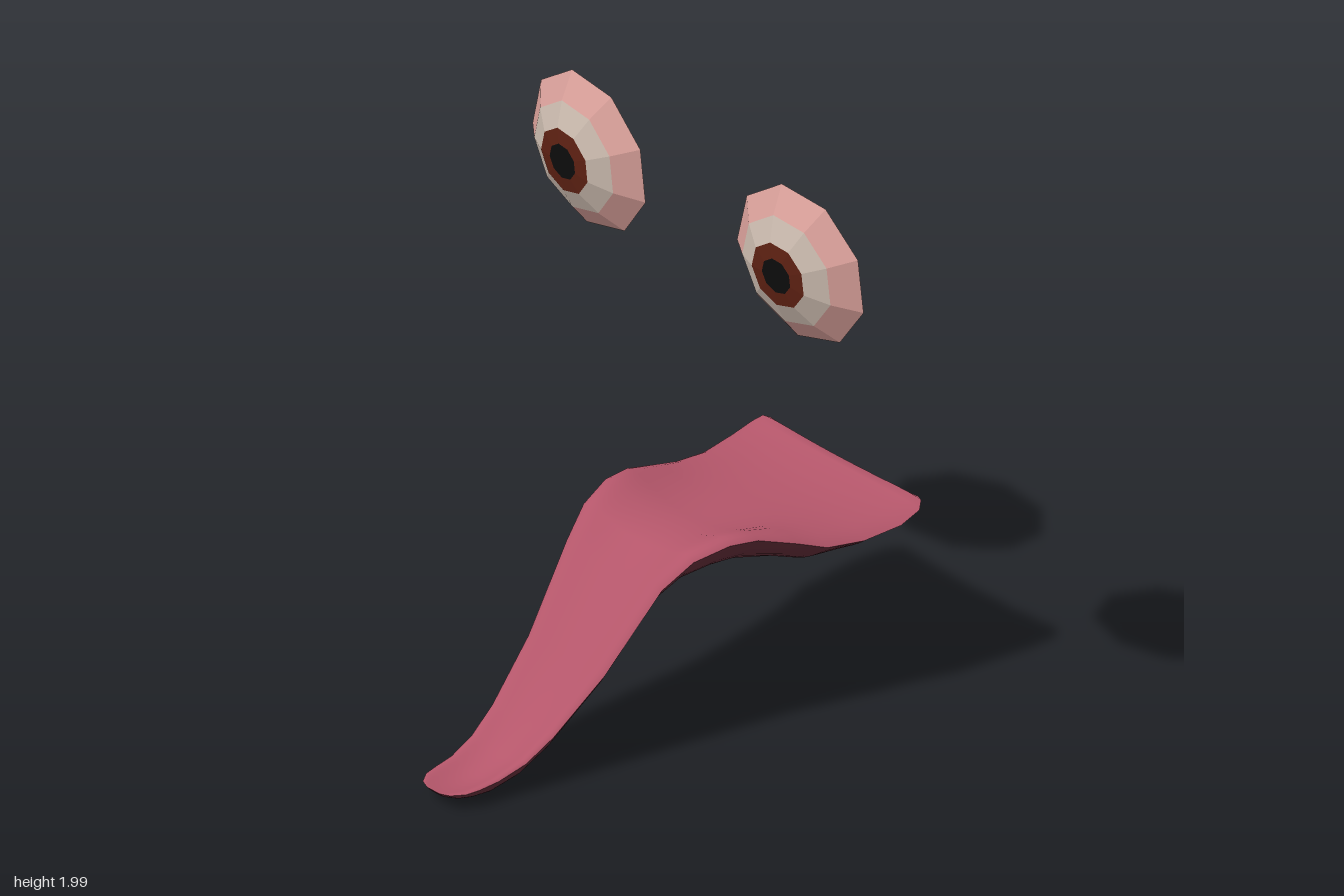
import * as THREE from 'three';

const material = (color, options = {}) => new THREE.MeshStandardMaterial({ color, ...options });

// Cross-sections from tip to root: z, half width, top centre y, top rim y, bottom centre y
const SECTIONS = [
  [0.853, 0.03, 0.06, 0.06, 0.06],
  [0.84, 0.065, 0.058, 0.068, 0.045],
  [0.80, 0.095, 0.052, 0.076, 0.028],
  [0.75, 0.105, 0.05, 0.085, 0.015],
  [0.68, 0.112, 0.055, 0.098, 0.008],
  [0.58, 0.128, 0.09, 0.135, 0.03],
  [0.48, 0.145, 0.16, 0.205, 0.085],
  [0.30, 0.18, 0.335, 0.375, 0.24],
  [0.10, 0.225, 0.565, 0.63, 0.48],
  [0, 0.26, 0.64, 0.715, 0.535],
  [-0.12, 0.295, 0.66, 0.75, 0.55],
  [-0.22, 0.315, 0.65, 0.74, 0.55],
  [-0.36, 0.345, 0.64, 0.685, 0.52],
  [-0.46, 0.37, 0.635, 0.645, 0.485],
  [-0.60, 0.385, 0.625, 0.62, 0.485],
  [-0.72, 0.40, 0.635, 0.62, 0.53],
  [-0.80, 0.395, 0.65, 0.635, 0.58],
  [-0.825, 0.375, 0.655, 0.65, 0.61],
  [-0.835, 0.35, 0.64, 0.64, 0.64],
];

// One skin of the tongue, lofted through the cross-sections
function tongueSkin(isTop) {
  const columns = 24;
  const positions = [];
  const indices = [];
  SECTIONS.forEach(([z, width, centre, rim, bottom], row) => {
    const drop = 0.25 * (rim - bottom);
    for (let c = 0; c <= columns; c++) {
      const u = -Math.cos((Math.PI * c) / columns);
      const a = Math.abs(u);
      const y = isTop
        ? centre + (rim - centre) * u * u - drop * a ** 10
        : bottom + (rim - drop - bottom) * a ** 3;
      // the root's corners reach a little further back than its middle
      const back = z < -0.7 ? 0.02 * u * u : 0;
      positions.push(u * width, y, z - back);
      if (row < SECTIONS.length - 1 && c < columns) {
        const p = row * (columns + 1) + c;
        const q = p + columns + 1;
        if (isTop) indices.push(p, p + 1, q, p + 1, q + 1, q);
        else indices.push(p, q, p + 1, p + 1, q, q + 1);
      }
    }
  });
  const geometry = new THREE.BufferGeometry();
  geometry.setAttribute('position', new THREE.Float32BufferAttribute(positions, 3));
  geometry.setIndex(indices);
  geometry.computeVertexNormals();
  return geometry;
}

// Shallow nine-sided dish made of coloured rings, open at the back
function createEye(side) {
  const eye = new THREE.Group();
  eye.name = side > 0 ? 'leftEye' : 'rightEye';
  const rings = [
    ['eyeRim', 0xd49c96, [0.268, 0], [0.187, 0.062]],
    ['eyeWhite', 0xc6b6aa, [0.187, 0.062], [0.11, 0.1]],
    ['iris', 0x5c2012, [0.11, 0.1], [0.06, 0.108]],
    ['pupil', 0x0c0c0c, [0.06, 0.108], [0, 0.11]],
  ];
  for (const [name, color, outer, inner] of rings) {
    const points = [new THREE.Vector2(...outer), new THREE.Vector2(...inner)];
    const geometry = new THREE.LatheGeometry(points, 9, THREE.MathUtils.degToRad(-5));
    geometry.rotateX(Math.PI / 2);
    const mesh = new THREE.Mesh(geometry, material(color, { flatShading: true, side: THREE.DoubleSide }));
    mesh.name = name;
    eye.add(mesh);
  }
  eye.scale.x = 1.075;
  eye.rotation.set(0.04, side * 0.05, 0);
  eye.position.set(side * 0.5, 1.742, -0.235);
  return eye;
}

export function createModel() {
  const model = new THREE.Group();
  model.name = 'face';

  const tongue = new THREE.Group();
  tongue.name = 'tongue';
  const top = new THREE.Mesh(tongueSkin(true), material(0xb4566a));
  top.name = 'tongueTop';
  const underside = new THREE.Mesh(tongueSkin(false), material(0x5e2a35));
  underside.name = 'tongueUnderside';
  tongue.add(top, underside);

  model.add(tongue, createEye(1), createEye(-1));
  return model;
}
